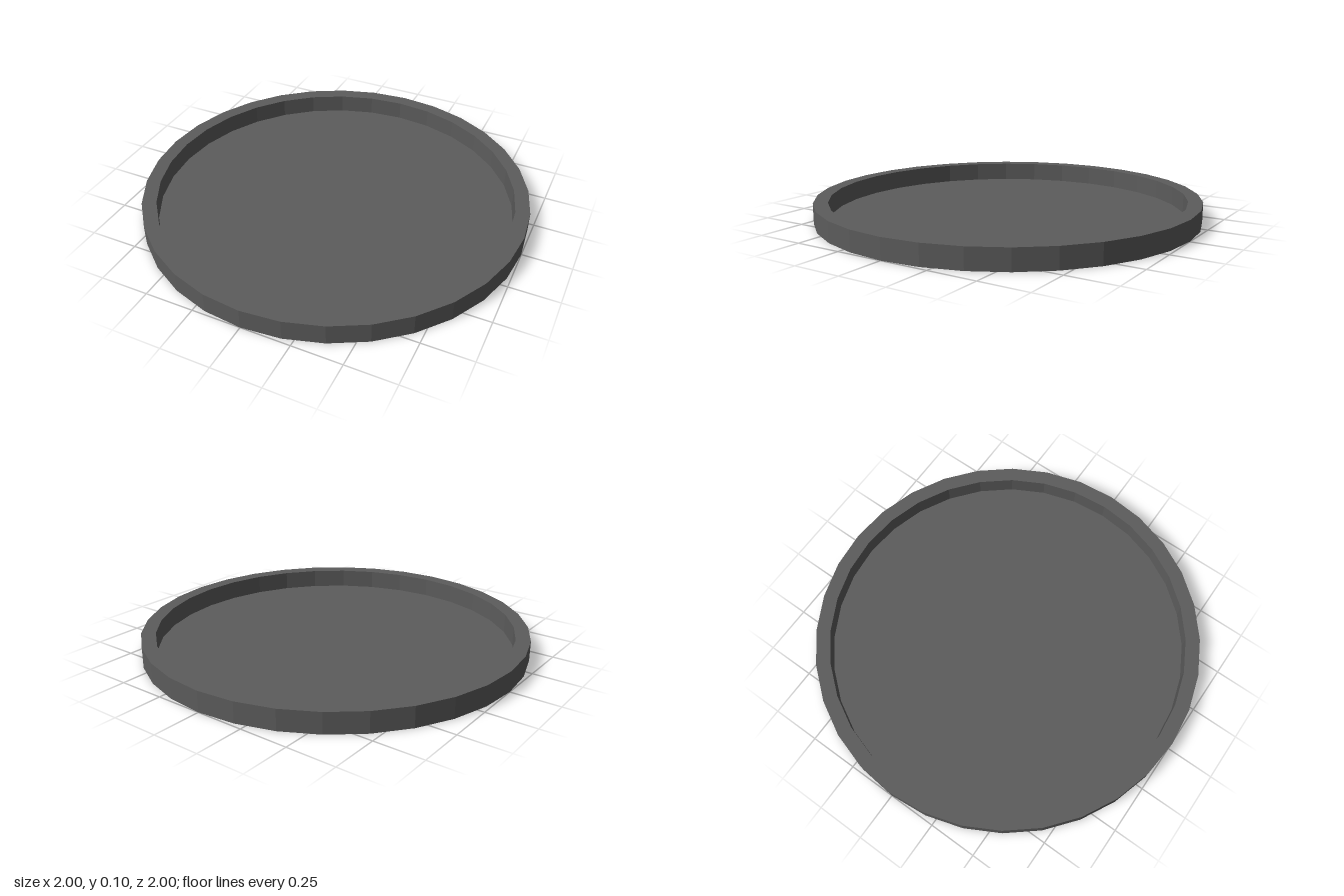
import * as THREE from 'three';

const SIDES = 32;
const OUTER = 1;
const INNER = 0.926;
const HEIGHT = 0.105;
const FLOOR = 0.006;

export function createModel() {
  const group = new THREE.Group();
  group.name = 'tray';
  const material = new THREE.MeshStandardMaterial({ color: 0x5c5c5c, flatShading: true });

  // Closed profile: underside, outer wall, rim top, inner wall, recessed floor
  const profile = [
    [0, 0],
    [OUTER, 0],
    [OUTER, HEIGHT],
    [INNER, HEIGHT],
    [INNER, FLOOR],
    [0, FLOOR],
  ].map(([r, y]) => new THREE.Vector2(r, y));

  const dish = new THREE.Mesh(new THREE.LatheGeometry(profile, SIDES), material);
  dish.name = 'shallowDish';
  group.add(dish);
  return group;
}
